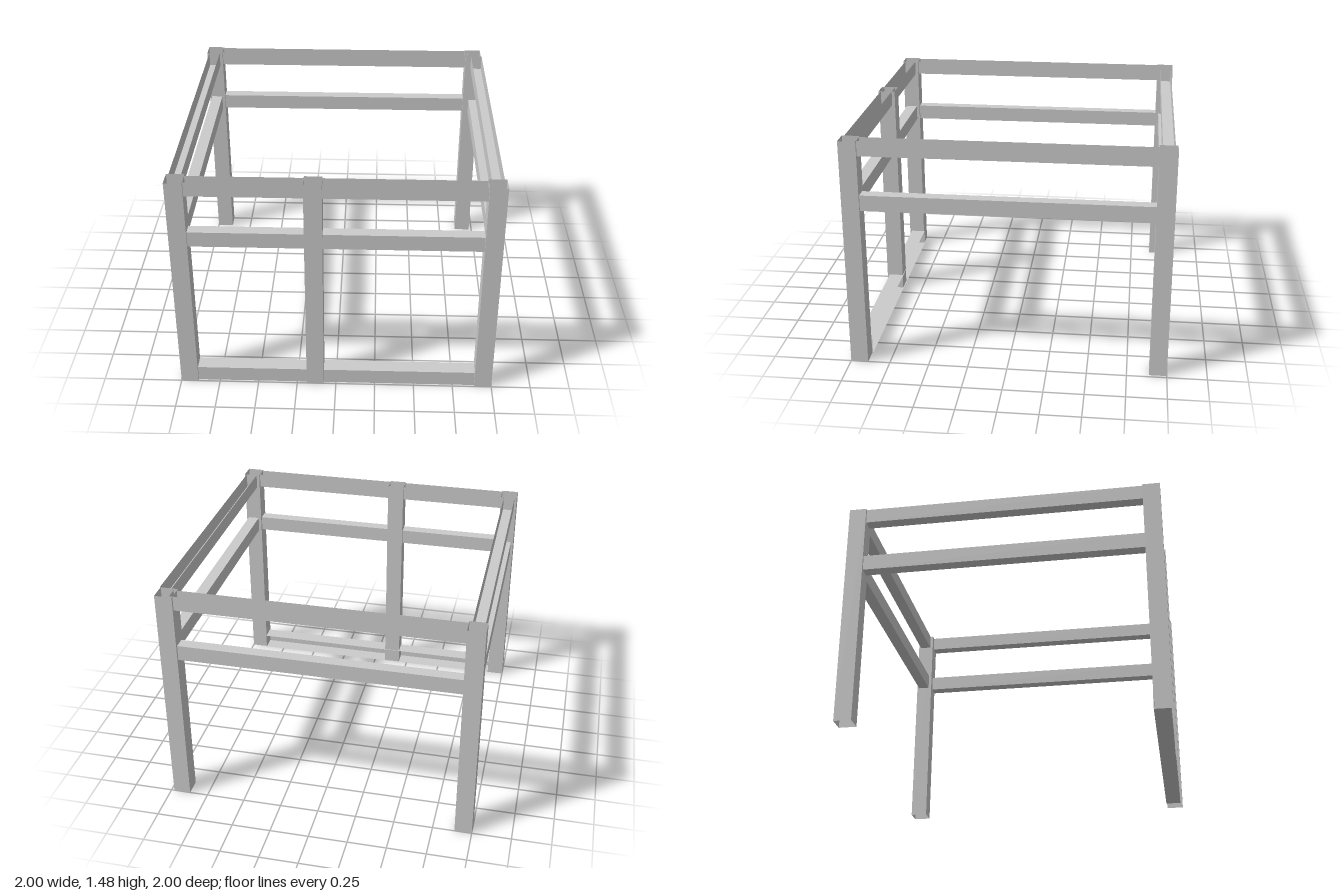
import * as THREE from 'three';

const material = new THREE.MeshStandardMaterial({ color: 0xcccccc, flatShading: true, side: THREE.DoubleSide });
const HEIGHT = 1.475;

// Thin-walled box between two corners; faces listed in `open` are left out
const FACES = ['right', 'left', 'top', 'bottom', 'front', 'back'];
function shell(name, [x0, x1], [y0, y1], [z0, z1], open = []) {
  const geo = new THREE.BoxGeometry(x1 - x0, y1 - y0, z1 - z0);
  geo.translate((x0 + x1) / 2, (y0 + y1) / 2, (z0 + z1) / 2);
  const index = Array.from(geo.index.array);
  geo.setIndex(FACES.flatMap((f, i) => (open.includes(f) ? [] : index.slice(i * 6, i * 6 + 6))));
  geo.clearGroups();
  const mesh = new THREE.Mesh(geo, material);
  mesh.name = name;
  return mesh;
}

export function createModel() {
  const model = new THREE.Group();
  model.name = 'tableFrame';

  // Posts: hollow square tubes, open at both ends
  const posts = [
    ['frontLeftPost', 0.89, 0.89],
    ['frontRightPost', -1, 0.89],
    ['backLeftPost', 0.87, -1],
    ['backRightPost', -1, -1],
    ['frontMiddlePost', -0.188, 0.89],
  ];
  for (const [name, x, z] of posts) {
    model.add(shell(name, [x, x + 0.11], [0, HEIGHT], [z, z + 0.11], ['top', 'bottom']));
  }

  // Upper rails are channels open at the top, middle rails are closed bars
  const span = [-0.89, 0.89];
  const near = [0.91, 0.985], far = [-0.985, -0.91];
  const levels = [
    ['TopRail', [1.38, HEIGHT], ['top']],
    ['MiddleRail', [1.03, 1.13], []],
  ];
  for (const [suffix, y, open] of levels) {
    model.add(shell('front' + suffix, span, y, near, open));
    model.add(shell('back' + suffix, span, y, far, open));
    model.add(shell('left' + suffix, near, y, span, open));
    model.add(shell('right' + suffix, far, y, span, open));
  }

  // Floor rail: wider channel, open towards the back
  model.add(shell('frontFloorRail', span, [0, 0.1], [0.885, 0.985], ['back']));
  return model;
}
